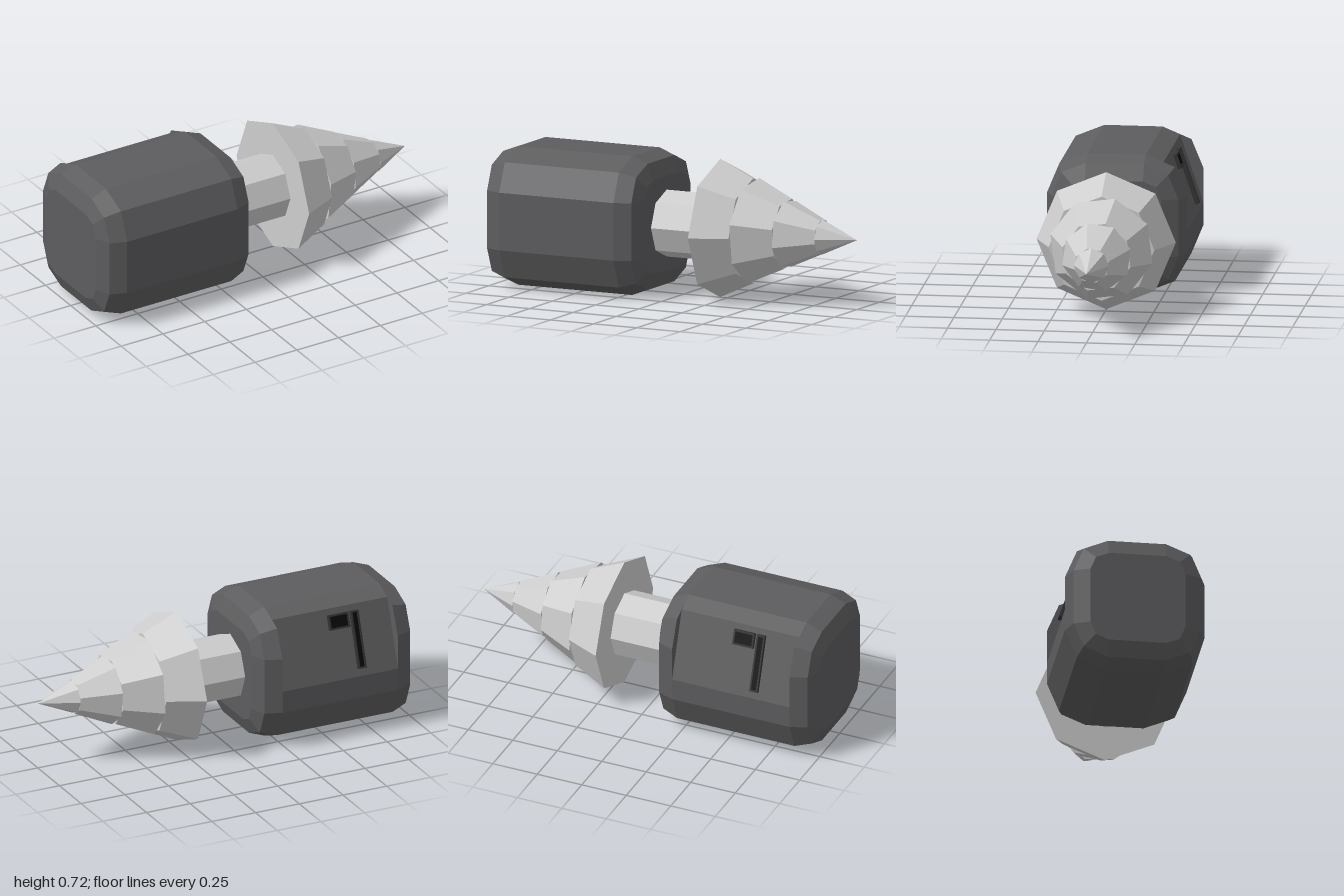
import * as THREE from 'three';

const MID_Y = 0.362;
const CORE = 0.15; // half width of the flat part of the casing section
const EDGE = 0.211; // corner radius of the casing section

const casingMat = new THREE.MeshStandardMaterial({ name: 'dark grey casing', color: 0x5d5d5f });
const steelMat = new THREE.MeshStandardMaterial({ name: 'light steel', color: 0xcdcdcd });
const frameMat = new THREE.MeshStandardMaterial({ name: 'charcoal frame', color: 0x343435 });
const slotMat = new THREE.MeshStandardMaterial({ name: 'black slot', color: 0x080808 });

function add(parent, name, geometry, material) {
  const mesh = new THREE.Mesh(geometry, material);
  mesh.name = name;
  parent.add(mesh);
  return mesh;
}

// Square section with two-facet corners, counter-clockwise seen from +x
function section(r) {
  const points = [];
  for (let corner = 0; corner < 4; corner++) {
    const mid = Math.PI / 4 + corner * Math.PI / 2;
    for (let k = -1; k <= 1; k++) {
      const a = mid + k * Math.PI / 4;
      points.push(new THREE.Vector2(
        Math.sign(Math.cos(mid)) * CORE + r * Math.cos(a),
        Math.sign(Math.sin(mid)) * CORE + r * Math.sin(a)));
    }
  }
  return points;
}

// Closed flat-faced loft through [x, corner radius] stations, x increasing
function loft(stations) {
  const rings = stations.map(([x, r]) => section(r).map(p => new THREE.Vector3(x, p.y, -p.x)));
  const pos = [];
  const tri = (...v) => v.forEach(p => pos.push(p.x, p.y, p.z));
  const n = rings[0].length;
  const first = rings[0], last = rings[rings.length - 1];
  const c0 = new THREE.Vector3(stations[0][0], 0, 0);
  const c1 = new THREE.Vector3(stations[stations.length - 1][0], 0, 0);
  for (let i = 0; i < n; i++) {
    const j = (i + 1) % n;
    for (let s = 0; s < rings.length - 1; s++) {
      const a = rings[s], b = rings[s + 1];
      tri(a[i], a[j], b[j]);
      tri(a[i], b[j], b[i]);
    }
    tri(c0, first[j], first[i]);
    tri(c1, last[i], last[j]);
  }
  const g = new THREE.BufferGeometry();
  g.setAttribute('position', new THREE.Float32BufferAttribute(pos, 3));
  g.computeVertexNormals();
  return g;
}

// Octagonal tapered piece along x
function octagon(x0, x1, r0, r1, twist = 0) {
  const g = new THREE.CylinderGeometry(r1, r0, x1 - x0, 8).toNonIndexed();
  g.rotateZ(-Math.PI / 2);
  g.rotateX(twist);
  g.translate((x0 + x1) / 2, 0, 0);
  g.computeVertexNormals();
  return g;
}

function rectangle(Type, w, h) {
  const p = new Type();
  p.moveTo(-w / 2, -h / 2);
  p.lineTo(w / 2, -h / 2);
  p.lineTo(w / 2, h / 2);
  p.lineTo(-w / 2, h / 2);
  p.closePath();
  return p;
}

// Framed black slot lying on the sloped panel
function framedSlot(name, x, w, top, bottom) {
  const slot = new THREE.Group();
  slot.name = name;
  const h = bottom - top, rim = 0.009, depth = 0.02;
  const outline = rectangle(THREE.Shape, w, h);
  outline.holes.push(rectangle(THREE.Path, w - 2 * rim, h - 2 * rim));
  add(slot, name + 'Frame', new THREE.ExtrudeGeometry(outline, { depth, bevelEnabled: false }), frameMat);
  const inset = add(slot, name + 'Opening', new THREE.BoxGeometry(w - 2 * rim, h - 2 * rim, 0.008), slotMat);
  inset.position.z = 0.01;
  slot.position.set(-x, -(top + bottom) / 2, 0);
  return slot;
}

export function createModel() {
  const model = new THREE.Group();
  model.name = 'drillTool';
  const tool = new THREE.Group();
  tool.name = 'tool';
  tool.position.y = MID_Y;
  model.add(tool);

  // Casing ends with stepped bevels
  add(tool, 'casingRear', loft([[-1, 0.095], [-0.967, 0.178], [-0.88, EDGE]]), casingMat);
  add(tool, 'casingFront', loft([[-0.22, EDGE], [-0.133, 0.178], [-0.1, 0.095]]), casingMat);

  // Casing middle, its upper back corner cut to a sloped panel
  const topY = 0.323, topZ = -0.24, lowY = -0.032, lowZ = -(CORE + EDGE);
  const cut = section(EDGE);
  cut[0].set(-lowZ, lowY);
  cut[1].set(-topZ, topY);
  const middle = new THREE.ExtrudeGeometry(new THREE.Shape(cut), { depth: 0.66, bevelEnabled: false });
  middle.rotateY(Math.PI / 2);
  middle.translate(-0.88, 0, 0);
  add(tool, 'casingMiddle', middle, casingMat);

  // Slots on the panel: local y runs up the slope, local z points outwards
  const panel = new THREE.Group();
  panel.name = 'panelSlots';
  panel.position.set(0, topY, topZ);
  panel.rotation.set(-Math.atan2(topZ - lowZ, topY - lowY), Math.PI, 0, 'YXZ');
  panel.add(framedSlot('longSlot', -0.678, 0.045, 0.033, 0.335));
  panel.add(framedSlot('shortSlot', -0.585, 0.115, 0.033, 0.112));
  tool.add(panel);

  // Shaft
  add(tool, 'shaft', octagon(-0.1, 0.21, 0.174, 0.174), steelMat);

  // Drill cone in four tiers, each twisted a little further
  const tiers = [0.21, 0.4, 0.6, 0.8, 1];
  const radius = x => 0.36 * (1 - x) / 0.79;
  for (let i = 0; i < 4; i++) {
    add(tool, 'drillTier' + (i + 1),
      octagon(tiers[i], tiers[i + 1], radius(tiers[i]), radius(tiers[i + 1]), -i * Math.PI / 12), steelMat);
  }
  return model;
}
